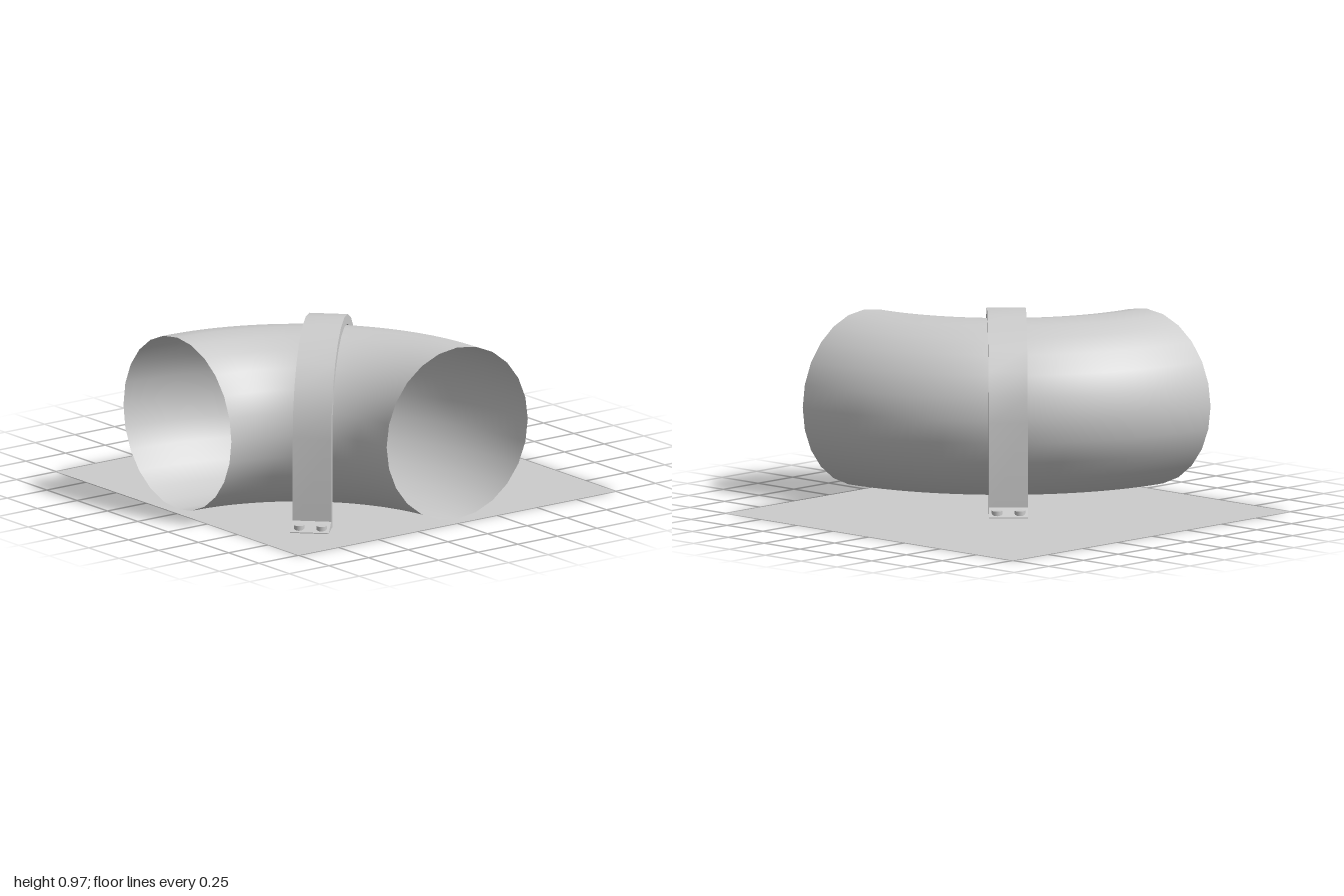
import * as THREE from 'three';
import { toCreasedNormals } from 'three/addons/utils/BufferGeometryUtils.js';

const AXIS_Y = 0.468; // height of the pipe's centre line

export function createModel() {
  const model = new THREE.Group();
  model.name = 'clampedPipeElbow';
  const material = new THREE.MeshStandardMaterial({ color: 0xcccccc });
  const thin = new THREE.MeshStandardMaterial({ color: 0xcccccc, side: THREE.DoubleSide });

  const add = (parent, name, geometry, mat = material) => {
    const mesh = new THREE.Mesh(geometry, mat);
    mesh.name = name;
    parent.add(mesh);
    return mesh;
  };

  // Square ground plate
  add(model, 'basePlate', new THREE.PlaneGeometry(2, 2).rotateX(-Math.PI / 2), thin);

  // Open quarter-turn pipe, bending about the corner at (1, 1)
  const elbow = new THREE.TorusGeometry(1, 0.445, 24, 40, Math.PI / 2);
  elbow.rotateX(Math.PI / 2).rotateY(Math.PI);
  add(model, 'pipeElbow', elbow, thin).position.set(1, AXIS_Y, 1);

  // Clamp across the middle of the bend; its local x runs across the pipe
  const clamp = new THREE.Group();
  clamp.name = 'clamp';
  clamp.position.set(0.29, 0, 0.29);
  clamp.rotation.y = -Math.PI / 4;
  model.add(clamp);

  // Strap outline: straight legs and a 12-sided half ring
  const outer = 0.498, inner = 0.449, width = 0.195, bottom = 0.002;
  const outline = [new THREE.Vector2(outer, bottom)];
  const arc = (r, i) => {
    const a = (i / 12) * Math.PI;
    outline.push(new THREE.Vector2(r * Math.cos(a), AXIS_Y + r * Math.sin(a)));
  };
  for (let i = 0; i <= 12; i++) arc(outer, i);
  outline.push(new THREE.Vector2(-outer, bottom), new THREE.Vector2(-inner, bottom));
  for (let i = 12; i >= 0; i--) arc(inner, i);
  outline.push(new THREE.Vector2(inner, bottom));

  const extrude = (points) => new THREE.ExtrudeGeometry(new THREE.Shape(points), {
    depth: width, bevelEnabled: false,
  }).translate(0, 0, -width / 2);
  add(clamp, 'strap', toCreasedNormals(extrude(outline), Math.PI / 6));

  // Wedge feet, each with two bolt heads
  for (const side of [1, -1]) {
    const foot = new THREE.Group();
    foot.name = side > 0 ? 'innerFoot' : 'outerFoot';
    foot.rotation.y = side > 0 ? 0 : Math.PI;
    clamp.add(foot);
    const wedge = [[outer - 0.01, bottom], [0.596, bottom], [0.596, 0.007], [outer, 0.04], [outer - 0.01, 0.04]];
    add(foot, 'footPlate', extrude(wedge.map(([x, y]) => new THREE.Vector2(x, y))));
    for (const z of [-0.057, 0.057]) {
      const bolt = add(foot, 'boltHead', new THREE.CylinderGeometry(0.027, 0.027, 0.03, 16));
      bolt.position.set(0.557, 0.02, z);
    }
  }

  return model;
}
